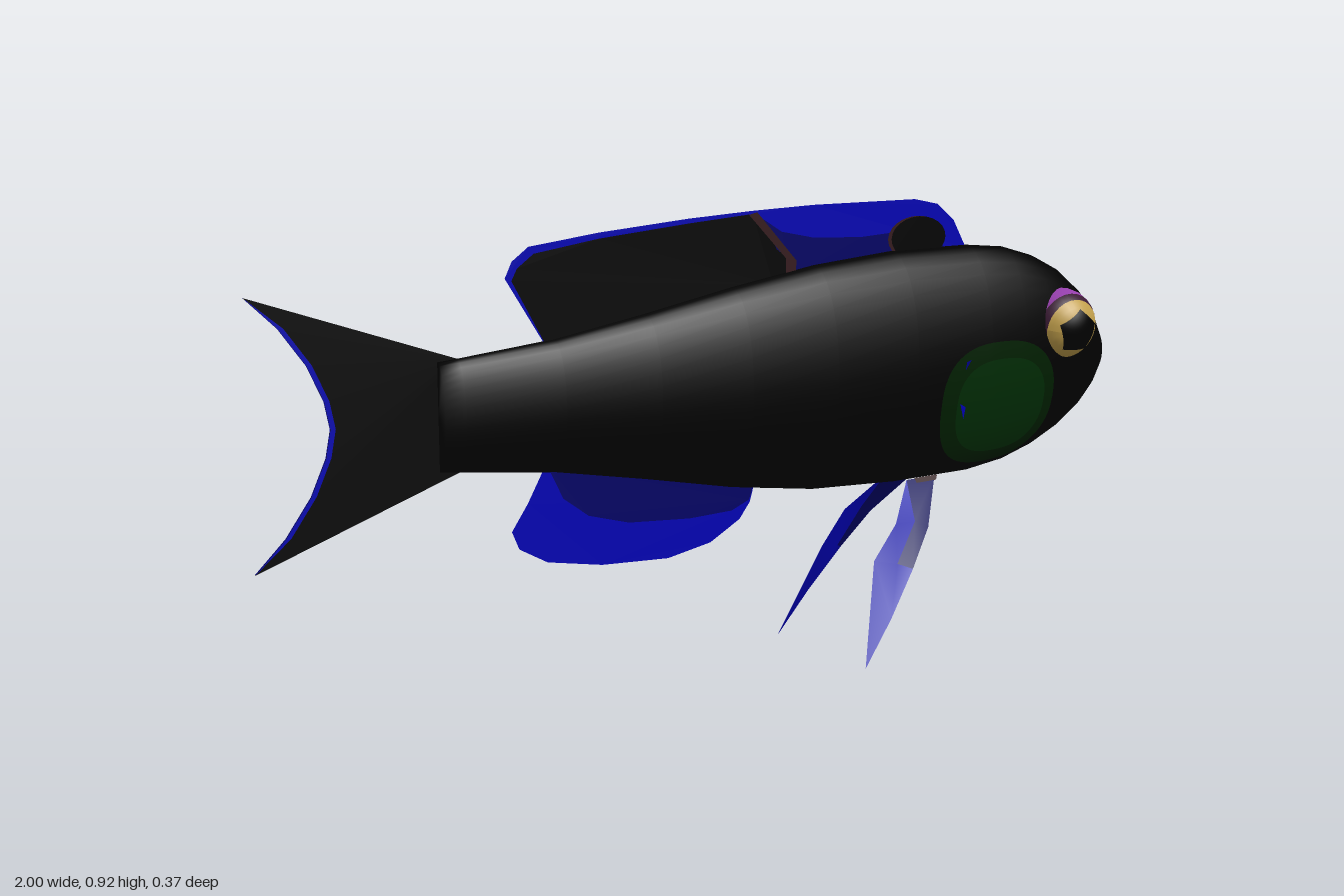
import * as THREE from 'three';

const mat = (name, color) => new THREE.MeshStandardMaterial({ name, color, side: THREE.DoubleSide });
const black = mat('black skin', 0x010101);
const blue = mat('bright blue', 0x0000b0);
const navy = mat('navy blue', 0x000062);
const brown = mat('brown edging', 0x34191c);
const darkGreen = mat('dark green', 0x001e00);
const green = mat('cheek green', 0x002a04);
const gold = mat('gold iris', 0xc2a04c);
const plum = mat('dark plum', 0x3a1a34);
const purple = mat('purple lid', 0x963fac);

// Body stations: x, bottom, top, half width
const stations = [
  [-0.64, 0.48, 0.68, 0.027], [-0.6, 0.475, 0.683, 0.031], [-0.4, 0.452, 0.702, 0.046],
  [-0.2, 0.415, 0.735, 0.062], [0, 0.375, 0.772, 0.077], [0.2, 0.347, 0.803, 0.088],
  [0.4, 0.338, 0.82, 0.095], [0.6, 0.34, 0.821, 0.096], [0.7, 0.353, 0.812, 0.093],
  [0.78, 0.376, 0.79, 0.088], [0.85, 0.407, 0.757, 0.079], [0.91, 0.445, 0.712, 0.064],
  [0.95, 0.482, 0.667, 0.048], [0.98, 0.522, 0.617, 0.028], [0.997, 0.55, 0.577, 0.009],
];

// Depth of the body's side at a given x and y
function bodySide(x, y) {
  let i = 0;
  while (i < stations.length - 2 && stations[i + 1][0] < x) i++;
  const a = stations[i], b = stations[i + 1], t = (x - a[0]) / (b[0] - a[0]);
  const [lo, hi, w] = [1, 2, 3].map((k) => a[k] + (b[k] - a[k]) * t);
  const v = (y - (lo + hi) / 2) / ((hi - lo) / 2);
  return w * Math.sqrt(Math.max(0, 1 - v * v));
}

function bodyGeometry(n = 36) {
  const pos = [], idx = [];
  for (const [x, lo, hi, w] of stations) {
    for (let j = 0; j < n; j++) {
      const a = (j / n) * Math.PI * 2;
      pos.push(x, (lo + hi) / 2 + Math.cos(a) * (hi - lo) / 2, Math.sin(a) * w);
    }
  }
  const last = stations.length - 1;
  for (let i = 0; i < last; i++) {
    for (let j = 0; j < n; j++) {
      const a = i * n + j, b = i * n + (j + 1) % n;
      idx.push(a, b, a + n, b, b + n, a + n);
    }
  }
  // Nose and tail caps
  pos.push(-0.64, 0.58, 0, 1, 0.563, 0);
  const tail = (last + 1) * n, nose = tail + 1;
  for (let j = 0; j < n; j++) {
    const k = (j + 1) % n;
    idx.push(tail, k, j, nose, last * n + j, last * n + k);
  }
  const g = new THREE.BufferGeometry();
  g.setAttribute('position', new THREE.Float32BufferAttribute(pos, 3));
  g.setIndex(idx);
  g.computeVertexNormals();
  return g;
}

// Mirror a geometry to the other side, keeping its faces outward
function toSide(g, s) {
  if (s < 0) {
    g.scale(1, 1, -1);
    const id = g.index.array;
    for (let i = 0; i < id.length; i += 3) [id[i], id[i + 1]] = [id[i + 1], id[i]];
  }
  g.computeVertexNormals();
  return g;
}

// Thin painted patch: outline(angle) gives the edge, surface(x, y) the depth
function drape(outline, surface, s) {
  const g = new THREE.RingGeometry(0.001, 1, 60, 10), p = g.attributes.position;
  for (let i = 0; i < p.count; i++) {
    const r = Math.hypot(p.getX(i), p.getY(i)), a = Math.atan2(p.getY(i), p.getX(i));
    const [cx, cy, dx, dy] = outline(a);
    const x = cx + dx * r, y = cy + dy * r;
    p.setXYZ(i, x, y, surface(x, y));
  }
  return toSide(g, s);
}

const pow = (v, e) => Math.sign(v) * Math.abs(v) ** e;
const oval = (cx, cy, rx, ry) => (a) => [cx, cy, rx * pow(Math.cos(a), 0.8), ry * pow(Math.sin(a), 0.8)];
const pentagon = (r) => (a) => {
  const step = Math.PI * 0.4, t = (((a - Math.PI / 2) % step) + step) % step - step / 2;
  const k = r * Math.cos(step / 2) / Math.cos(t);
  return [0, 0, k * Math.cos(a), k * Math.sin(a)];
};

export function createModel() {
  const model = new THREE.Group();
  const add = (parent, name, geometry, material) => {
    const m = new THREE.Mesh(geometry, material);
    m.name = name;
    parent.add(m);
    return m;
  };
  const group = (name) => {
    const g = new THREE.Group();
    g.name = name;
    model.add(g);
    return g;
  };
  // Flat fin piece; layers above 0 lie just outside both faces
  const plate = (parent, name, pts, material, layer = 0) => {
    const shape = new THREE.Shape(pts.map(([x, y]) => new THREE.Vector2(x, y)));
    for (const s of layer ? [1, -1] : [1]) {
      add(parent, name, new THREE.ShapeGeometry(shape), material).position.z = s * layer * 0.0015;
    }
  };
  const facets = (parent, name, pts, tris, material, s) => {
    const g = new THREE.BufferGeometry();
    g.setAttribute('position', new THREE.Float32BufferAttribute(pts.flat(), 3));
    g.setIndex(tris);
    add(parent, name, toSide(g, s), material);
  };

  add(model, 'body', bodyGeometry(), black);

  // Tail fin with a blue rear edge
  const tail = group('tailFin');
  const fork = [[-1, 0.82], [-0.94, 0.763], [-0.89, 0.695], [-0.86, 0.63], [-0.85, 0.58],
    [-0.86, 0.53], [-0.89, 0.465], [-0.94, 0.397], [-1, 0.34]];
  plate(tail, 'tailWeb', [[-0.6, 0.683], ...fork, [-0.6, 0.475]], black);
  const inner = fork.map(([x, y], i) => [x + (i % 8 ? 0.01 : 0), y]).reverse();
  plate(tail, 'tailTrim', [...fork, ...inner.slice(1, -1)], blue, 1);

  // Dorsal fin: blue web, black rear, navy base, brown divider and dark spot
  const dorsal = group('dorsalFin');
  plate(dorsal, 'dorsalWeb', [[-0.41, 0.68], [-0.5, 0.82], [-0.485, 0.85], [-0.45, 0.875], [-0.3, 0.893],
    [-0.1, 0.909], [0.05, 0.917], [0.2, 0.922], [0.46, 0.922], [0.52, 0.91], [0.565, 0.875],
    [0.6, 0.815], [0.5, 0.79], [0.1, 0.77]], blue);
  plate(dorsal, 'dorsalRear', [[-0.41, 0.68], [-0.487, 0.815], [-0.475, 0.837], [-0.44, 0.862], [-0.3, 0.882],
    [-0.1, 0.9], [0.05, 0.911], [0.15, 0.8], [0.1, 0.77]], black, 1);
  plate(dorsal, 'dorsalBase', [[0.14, 0.78], [0.075, 0.9], [0.12, 0.873], [0.2, 0.857], [0.32, 0.852],
    [0.42, 0.858], [0.5, 0.855], [0.55, 0.81], [0.5, 0.79]], navy, 1);
  plate(dorsal, 'dorsalDivider', [[0.04, 0.91], [0.06, 0.914], [0.155, 0.815], [0.155, 0.78], [0.13, 0.78], [0.13, 0.82]], brown, 2);
  const ellipse = (cx, cy, rx, ry) => Array.from({ length: 24 }, (_, i) => {
    const a = i * Math.PI / 12;
    return [cx + rx * Math.cos(a), cy + ry * Math.sin(a)];
  });
  plate(dorsal, 'dorsalSpotRim', ellipse(0.463, 0.843, 0.075, 0.045), brown, 2);
  plate(dorsal, 'dorsalSpot', ellipse(0.468, 0.843, 0.072, 0.044), black, 3);

  // Anal fin
  const anal = group('analFin');
  plate(anal, 'analWeb', [[-0.42, 0.47], [-0.46, 0.4], [-0.495, 0.35], [-0.48, 0.315], [-0.42, 0.282],
    [-0.3, 0.26], [-0.15, 0.252], [-0.05, 0.27], [0.02, 0.308], [0.045, 0.34], [0.06, 0.39]], blue);
  plate(anal, 'analBase', [[-0.42, 0.47], [-0.385, 0.4], [-0.33, 0.36], [-0.24, 0.335], [-0.1, 0.325],
    [0, 0.328], [0.042, 0.345], [0.06, 0.39]], navy, 1);

  for (const s of [1, -1]) {
    const side = s > 0 ? 'left' : 'right';

    // Cheek patches
    add(model, side + 'CheekEdge', drape(oval(0.622, 0.495, 0.16, 0.131),
      (x, y) => bodySide(x, y) + 0.003, s), darkGreen);
    add(model, side + 'Cheek', drape(oval(0.627, 0.49, 0.125, 0.1),
      (x, y) => bodySide(x, y) + 0.0055, s), green);

    // Eye: bands around a ball, with a pentagonal pupil
    const eye = group(side + 'Eye');
    eye.position.set(0.823, 0.645, 0.055 * s);
    eye.rotation.set(0.19 * s, -0.1 * s, 0);
    const R = 0.076;
    const band = (name, from, to, material) => add(eye, name, toSide(
      new THREE.SphereGeometry(R, 28, 8, 0, Math.PI * 2, from, to - from).rotateX(Math.PI / 2), s), material);
    band('iris', 0, 1, gold);
    band('irisRim', 1, 1.26, plum);
    band('lid', 1.26, Math.PI, purple);
    add(eye, 'pupil', drape(pentagon(0.049),
      (x, y) => Math.sqrt(R * R - x * x - y * y) + 0.0015, s), black);

    // Pelvic fin: navy upper part, bright trailing edge and tip
    const pelvic = group(side + 'PelvicFin');
    const f = [[0.5, 0.345, 0.03], [0.42, 0.345, 0.035], [0.352, 0.27, 0.085], [0.295, 0.2, 0.086],
      [0.225, 0, 0.15], [0.298, 0.09, 0.14], [0.37, 0.18, 0.12], [0.43, 0.255, 0.095], [0.4, 0.27, 0.088], [0.345, 0.19, 0.1]];
    facets(pelvic, 'pelvicBase', f, [0, 1, 8, 0, 8, 7, 8, 9, 6, 8, 6, 7], navy, s);
    facets(pelvic, 'pelvicBlade', f, [1, 2, 8, 2, 3, 9, 2, 9, 8, 3, 4, 5, 3, 5, 9, 9, 5, 6], blue, s);
    facets(pelvic, 'pelvicRoot', [[0.505, 0.347, 0.033], [0.44, 0.347, 0.036], [0.44, 0.338, 0.044], [0.495, 0.338, 0.041]],
      [0, 1, 2, 0, 2, 3], brown, s);

    // Small pectoral fin tips
    facets(model, side + 'PectoralTips', [[0.432, 0.525, 0.185], [0.472, 0.51, 0.156], [0.452, 0.49, 0.172],
      [0.484, 0.6, 0.144], [0.522, 0.598, 0.115], [0.505, 0.577, 0.116]], [0, 2, 1, 3, 5, 4], blue, s);
  }
  return model;
}
